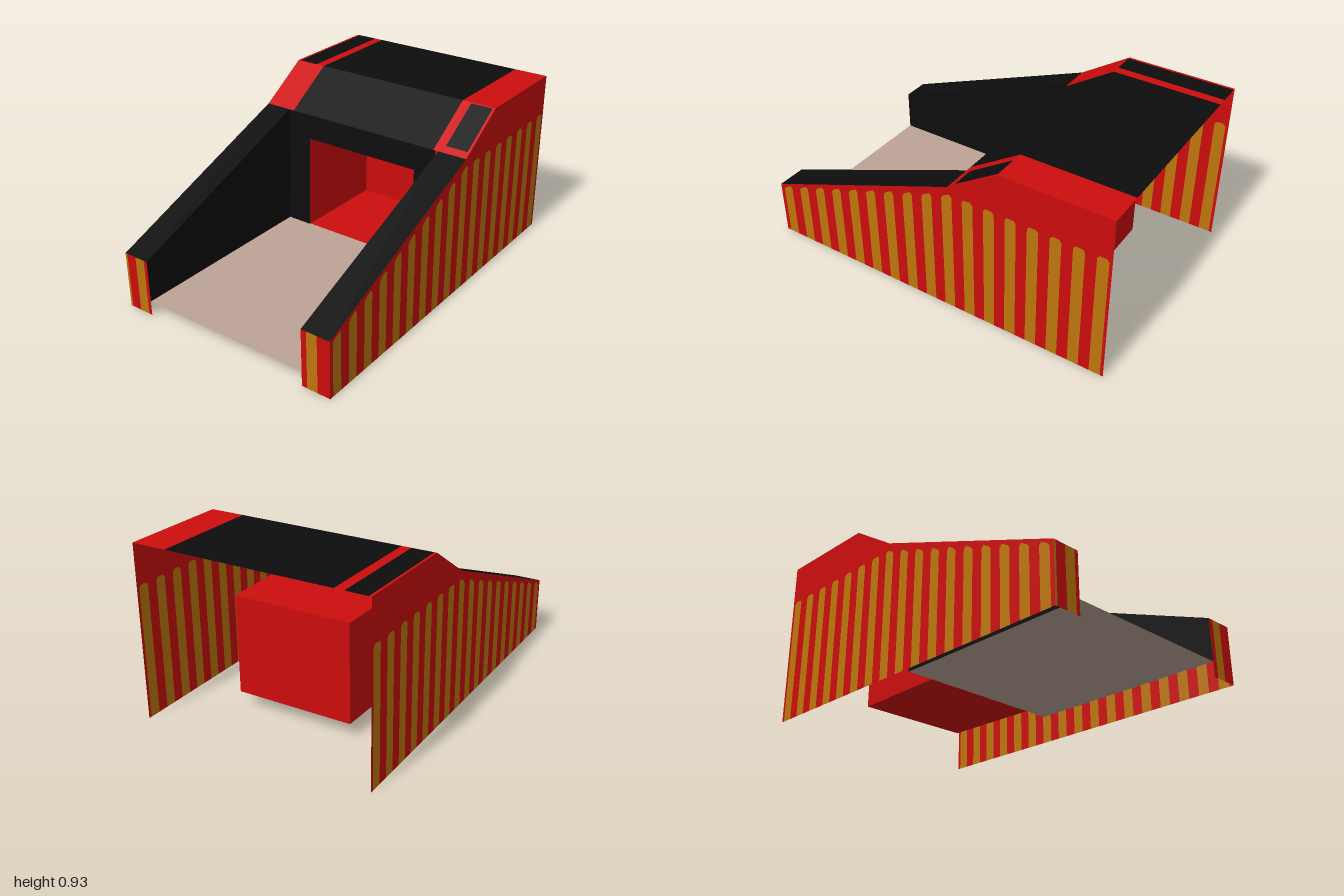
import * as THREE from 'three';

const mat = (name, color) => {
  const m = new THREE.MeshStandardMaterial({ color, side: THREE.DoubleSide, flatShading: true });
  m.name = name;
  return m;
};

export function createModel() {
  const group = new THREE.Group();
  const red = mat('red', 0xcc0d0d);
  const gold = mat('gold', 0xbd760c);
  const black = mat('black', 0x0d0d0d);
  const beige = mat('beige', 0xbca396);

  const add = (name, geometry, material) => {
    const mesh = new THREE.Mesh(geometry, material);
    mesh.name = name;
    group.add(mesh);
    return mesh;
  };

  // Flat four-cornered panel
  const quad = (name, material, a, b, c, d) => {
    const g = new THREE.BufferGeometry();
    g.setAttribute('position', new THREE.Float32BufferAttribute([...a, ...b, ...c, ...d], 3));
    g.setIndex([0, 1, 2, 0, 2, 3]);
    g.computeVertexNormals();
    return add(name, g, material);
  };

  // Side profile: low rail, sloped windscreen, flat roof
  const X = { end: -1, cab: 0.13, roof: 0.41, back: 1 };
  const height = (x) => {
    if (x <= X.cab) return 0.31 + ((x + 1) * 0.44) / 1.13;
    if (x <= X.roof) return 0.75 + ((x - X.cab) * 0.18) / 0.28;
    return 0.93;
  };
  // Upward-facing panel that lies on the profile
  const top = (name, material, x0, x1, z0, z1) => quad(name, material,
    [x0, height(x0), z1], [x1, height(x1), z1], [x1, height(x1), z0], [x0, height(x0), z0]);

  // Stripes of the outer walls, with bevelled tops
  const stripes = [];
  for (let i = 0; i < 17; i++) {
    const c = -0.947 + i * 0.1188;
    const y = (x) => Math.min(0.71, 0.312 + (x + 0.949) * 0.364);
    const l = c - 0.03, r = c + 0.03;
    stripes.push([[l, 0], [l, y(l) - 0.015], [l + 0.012, y(l)], [r - 0.012, y(r)], [r, y(r) - 0.015], [r, 0]]);
  }
  const shapeOf = (pts) => new THREE.ShapeGeometry(new THREE.Shape(pts.map((p) => new THREE.Vector2(...p))));

  // Outer walls: red sheet notched around each stripe
  const wall = [[-1, 0], ...stripes.flat(), [1, 0], [1, 0.93], [X.roof, 0.93], [X.cab, 0.75], [-1, 0.31]];
  for (const s of [1, -1]) {
    const side = s > 0 ? 'front' : 'rear';
    add(side + 'Wall', shapeOf(wall), red).position.z = 0.638 * s;
    for (const p of stripes) add(side + 'WallStripe', shapeOf(p), gold).position.z = 0.638 * s;

    // Bed rails: sloped top and inner face
    const zi = s > 0 ? 0.478 : -0.487;
    top(side + 'RailTop', black, X.end, X.cab, Math.min(zi, 0.638 * s), Math.max(zi, 0.638 * s));
    add(side + 'RailInner', shapeOf([[-1, 0.08], [0.12, 0.08], [X.cab, 0.75], [-1, 0.31]]), black).position.z = zi;

    // Striped rail end caps
    const cuts = s > 0 ? [0.478, 0.508, 0.567, 0.638] : [-0.487, -0.508, -0.567, -0.625, -0.638];
    for (let i = 0; i < cuts.length - 1; i++) {
      const [a, b] = [cuts[i], cuts[i + 1]].sort((p, q) => p - q);
      quad(side + 'RailEnd', i % 2 ? gold : red, [-1, 0, a], [-1, 0, b], [-1, 0.31, b], [-1, 0.31, a]);
    }
  }

  // Load bed
  quad('bed', beige, [-1, 0.08, 0.478], [0.115, 0.08, 0.478], [0.115, 0.08, -0.487], [-1, 0.08, -0.487]);

  // Windscreen and roof
  top('windscreen', black, X.cab, X.roof, -0.457, 0.447);
  top('roof', black, X.roof, X.back, -0.457, 0.447);

  // Front pillar framing a dark window, with a red roof side
  top('frontPillarInner', red, X.cab, X.roof, 0.447, 0.5);
  top('frontPillarOuter', red, X.cab, X.roof, 0.624, 0.638);
  top('frontPillarFoot', red, X.cab, 0.165, 0.5, 0.624);
  top('frontPillarWindow', black, 0.165, 0.405, 0.5, 0.624);
  top('frontPillarHead', red, 0.405, X.roof, 0.5, 0.624);
  top('frontRoofSide', red, X.roof, X.back, 0.447, 0.638);

  // Rear pillar, with a dark window in the roof side
  top('rearPillar', red, X.cab, X.roof, -0.638, -0.457);
  top('rearRoofInner', red, X.roof, X.back, -0.508, -0.457);
  top('rearRoofWindow', black, X.roof, X.back, -0.624, -0.508);
  top('rearRoofOuter', red, X.roof, X.back, -0.638, -0.624);

  // Cab wall around the doorway, leaning slightly
  const cabX = (y) => 0.11 + ((y - 0.08) * 0.02) / 0.67;
  const cab = (name, material, z0, z1, y0, y1) => quad(name, material,
    [cabX(y0), y0, z0], [cabX(y0), y0, z1], [cabX(y1), y1, z1], [cabX(y1), y1, z0]);
  cab('cabWallRear', black, -0.487, -0.34, 0.08, 0.75);
  cab('cabWallFront', black, 0.34, 0.461, 0.08, 0.75);
  cab('cabWallTop', black, -0.34, 0.34, 0.61, 0.75);
  cab('cabWallTrim', red, 0.461, 0.478, 0.08, 0.75);

  // Recessed box behind the doorway
  const [xa, xb, y0, y1] = [0.11, 0.66, 0.08, 0.61];
  const xt = cabX(y1);
  quad('boxBack', red, [xb, y0, 0.322], [xb, y0, -0.327], [xb, y1, -0.327], [xb, y1, 0.322]);
  quad('boxFloor', red, [xa, y0, 0.34], [xb, y0, 0.322], [xb, y0, -0.327], [xa, y0, -0.34]);
  quad('boxCeiling', red, [xt, y1, 0.34], [xb, y1, 0.322], [xb, y1, -0.327], [xt, y1, -0.34]);
  quad('boxFrontSide', red, [xa, y0, 0.34], [xb, y0, 0.322], [xb, y1, 0.322], [xt, y1, 0.34]);
  quad('boxRearSide', red, [xb, y0, -0.327], [xa, y0, -0.34], [xt, y1, -0.34], [xb, y1, -0.327]);

  return group;
}
